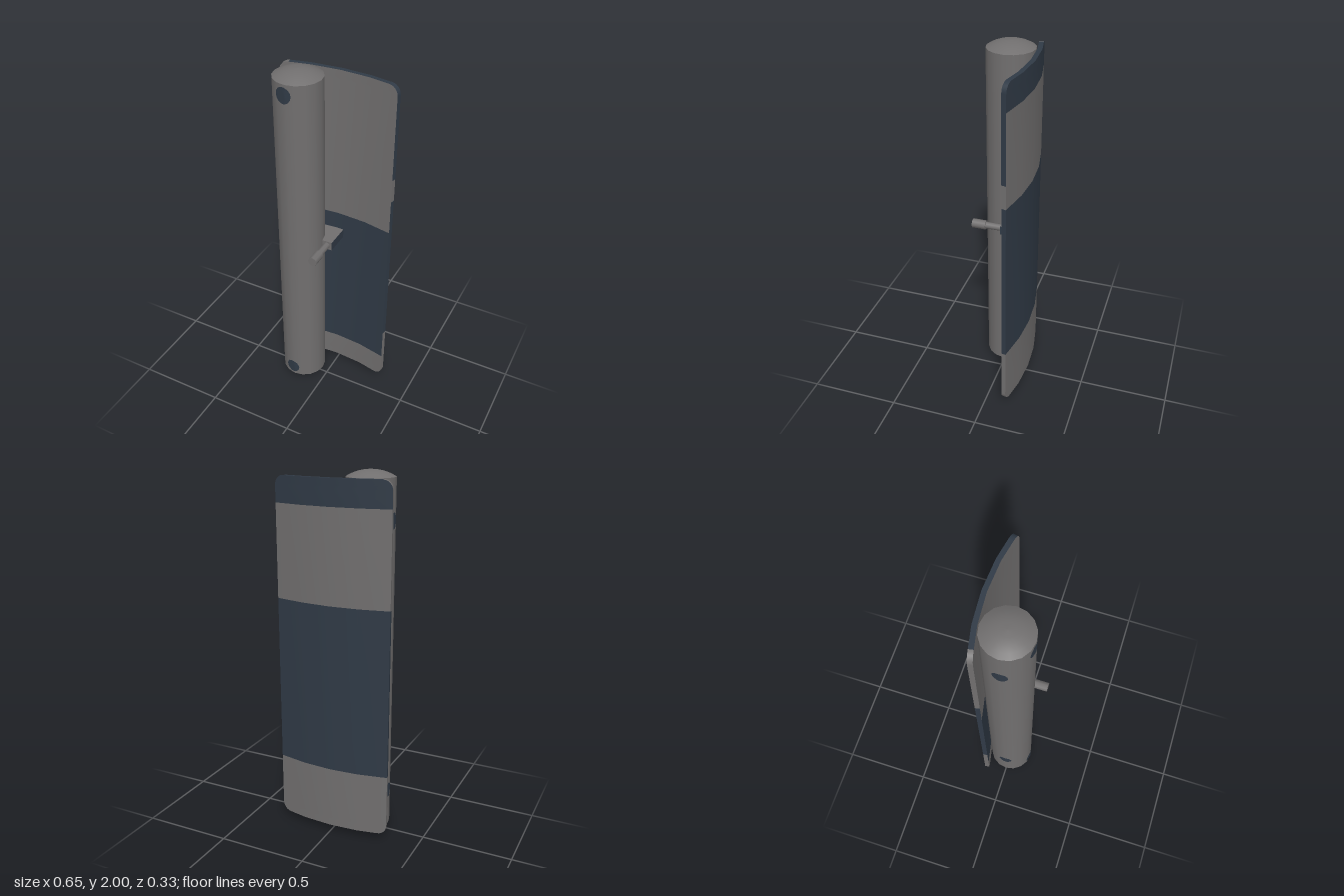
import * as THREE from 'three';

const grey = new THREE.MeshStandardMaterial({ color: 0x716f6f });
grey.name = 'warm grey';
const navy = new THREE.MeshStandardMaterial({ color: 0x303a46 });
navy.name = 'dark navy';

const BOTTOM = 0.04, TOP = 1.965, HALF = 0.325, CORNER = 0.05;
const TUBE_R = 0.128, TUBE_X = -0.155, SIDES = 16;

// Bent cross-section of the panel: depth of its back face at a given x
function backZ(x) {
  const a = Math.abs(x);
  return a < 0.163 ? -0.168 + 0.011 * a / 0.163 : -0.157 + 0.032 * (a - 0.163) / 0.162;
}
const back = (x, y) => [x, y, backZ(x)];
const front = (x, y) => [x * 0.984, y, backZ(x) + 0.025];

// Half width of the panel at a height, narrowing at the rounded corners
function halfWidth(y) {
  const d = Math.max(0, CORNER - Math.min(y - BOTTOM, TOP - y));
  return HALF - CORNER + Math.sqrt(Math.max(0, CORNER * CORNER - d * d));
}
const columns = y => [-halfWidth(y), -0.163, 0, 0.163, halfWidth(y)];

// Heights from y0 to y1, with extra rows in the corners
function heights(y0, y1) {
  const list = [];
  for (let i = 1; i <= 6; i++) {
    const d = CORNER * (1 - Math.cos(i * Math.PI / 12));
    list.push(BOTTOM + d, TOP - d);
  }
  return [y0, ...list.filter(y => y > y0 + 1e-5 && y < y1 - 1e-5).sort((a, b) => a - b), y1];
}

// Surface through rows of points
function surface(name, rows, material, flip = false) {
  const n = rows[0].length, index = [];
  for (let r = 0; r < rows.length - 1; r++) {
    for (let c = 0; c < n - 1; c++) {
      const a = r * n + c, b = a + 1, d = a + n, e = d + 1;
      if (flip) index.push(a, e, b, a, d, e);
      else index.push(a, b, e, a, e, d);
    }
  }
  const g = new THREE.BufferGeometry();
  g.setAttribute('position', new THREE.Float32BufferAttribute(rows.flat(2), 3));
  g.setIndex(index);
  g.computeVertexNormals();
  const mesh = new THREE.Mesh(g, material);
  mesh.name = name;
  return mesh;
}

function makePanel() {
  const panel = new THREE.Group();
  panel.name = 'curvedPanel';
  // Runs a builder over each colour band: limits between alternating colours, from the bottom up
  const bands = (limits, colours, build) => colours.forEach((m, i) =>
    panel.add(build(heights(limits[i], limits[i + 1]), m)));

  bands([BOTTOM, 0.2, 1.125, TOP], [grey, navy, grey], (ys, m) =>
    surface('panelFront', ys.map(y => columns(y).map(x => front(x, y))), m));
  bands([BOTTOM, 0.39, 1.32, 1.825, TOP], [grey, navy, grey, navy], (ys, m) =>
    surface('panelBack', ys.map(y => columns(y).map(x => back(x, y))), m, true));
  bands([BOTTOM, 0.39, 1.32, 1.45, TOP], [grey, navy, grey, navy], (ys, m) =>
    surface('panelLeftEdge', ys.map(y => [front(halfWidth(y), y), back(halfWidth(y), y)]), m));
  bands([BOTTOM, 0.39, 1.32, TOP], [grey, navy, grey], (ys, m) =>
    surface('panelRightEdge', ys.map(y => [back(-halfWidth(y), y), front(-halfWidth(y), y)]), m));

  for (const [name, y, flip] of [['panelTopEdge', TOP, false], ['panelBottomEdge', BOTTOM, true]]) {
    const xs = columns(y);
    panel.add(surface(name, [xs.map(x => front(x, y)), xs.map(x => back(x, y))], navy, flip));
  }
  return panel;
}

// Thin round patch wrapped onto the faceted tube
function makeSpot(angle, y, width, height) {
  const g = new THREE.RingGeometry(0.0005, 0.5, 14, 6);
  const p = g.attributes.position, facet = 2 * Math.PI / SIDES;
  for (let i = 0; i < p.count; i++) {
    const t = angle + p.getX(i) * width / TUBE_R;
    const local = t - (Math.floor(t / facet) + 0.5) * facet;
    const r = TUBE_R * Math.cos(facet / 2) / Math.cos(local) + 0.002;
    p.setXYZ(i, r * Math.sin(t), y + p.getY(i) * height, r * Math.cos(t));
  }
  g.computeVertexNormals();
  const mesh = new THREE.Mesh(g, navy);
  mesh.name = 'tubeSpot';
  return mesh;
}

function makeTube() {
  const tube = new THREE.Group();
  tube.name = 'tube';
  tube.position.x = TUBE_X;
  const body = new THREE.Mesh(
    new THREE.CylinderGeometry(TUBE_R, TUBE_R, 1.93, SIDES, 1, true), grey);
  body.name = 'tubeBody';
  body.position.y = 1;
  tube.add(body);

  // Shallow domed ends
  const dome = [[TUBE_R, 0], [0.1, 0.015], [0.07, 0.026], [0.037, 0.033], [0, 0.035]]
    .map(([x, y]) => new THREE.Vector2(x, y));
  for (const s of [1, -1]) {
    const cap = new THREE.Mesh(new THREE.LatheGeometry(dome, SIDES), grey);
    cap.name = s > 0 ? 'topDome' : 'bottomDome';
    cap.position.y = 1 + s * 0.965;
    if (s < 0) cap.rotation.x = Math.PI;
    tube.add(cap);
    // Painted spots on the front and side near each end
    tube.add(makeSpot(-0.1, 1 + s * 0.908, 0.085, 0.088));
    tube.add(makeSpot(-Math.PI / 2, 1 + s * 0.752, 0.08, 0.085));
  }
  return tube;
}

function makeBracket() {
  const bracket = new THREE.Group();
  bracket.name = 'bracket';
  bracket.position.y = 1;
  const block = new THREE.Mesh(new THREE.BoxGeometry(0.185, 0.05, 0.142),
    [navy, grey, grey, grey, grey, grey]);
  block.name = 'bracketBlock';
  block.position.set(-0.0625, 0, -0.071);
  bracket.add(block);
  // Stem and knob pointing forward
  for (const [name, r, z0, z1] of [['stem', 0.019, -0.005, 0.092], ['knob', 0.026, 0.09, 0.166]]) {
    const part = new THREE.Mesh(new THREE.CylinderGeometry(r, r, z1 - z0, 8), grey);
    part.name = name;
    part.rotation.x = Math.PI / 2;
    part.position.z = (z0 + z1) / 2;
    bracket.add(part);
  }
  return bracket;
}

export function createModel() {
  const model = new THREE.Group();
  model.name = 'panelWithTube';
  model.add(makePanel(), makeTube(), makeBracket());
  return model;
}
